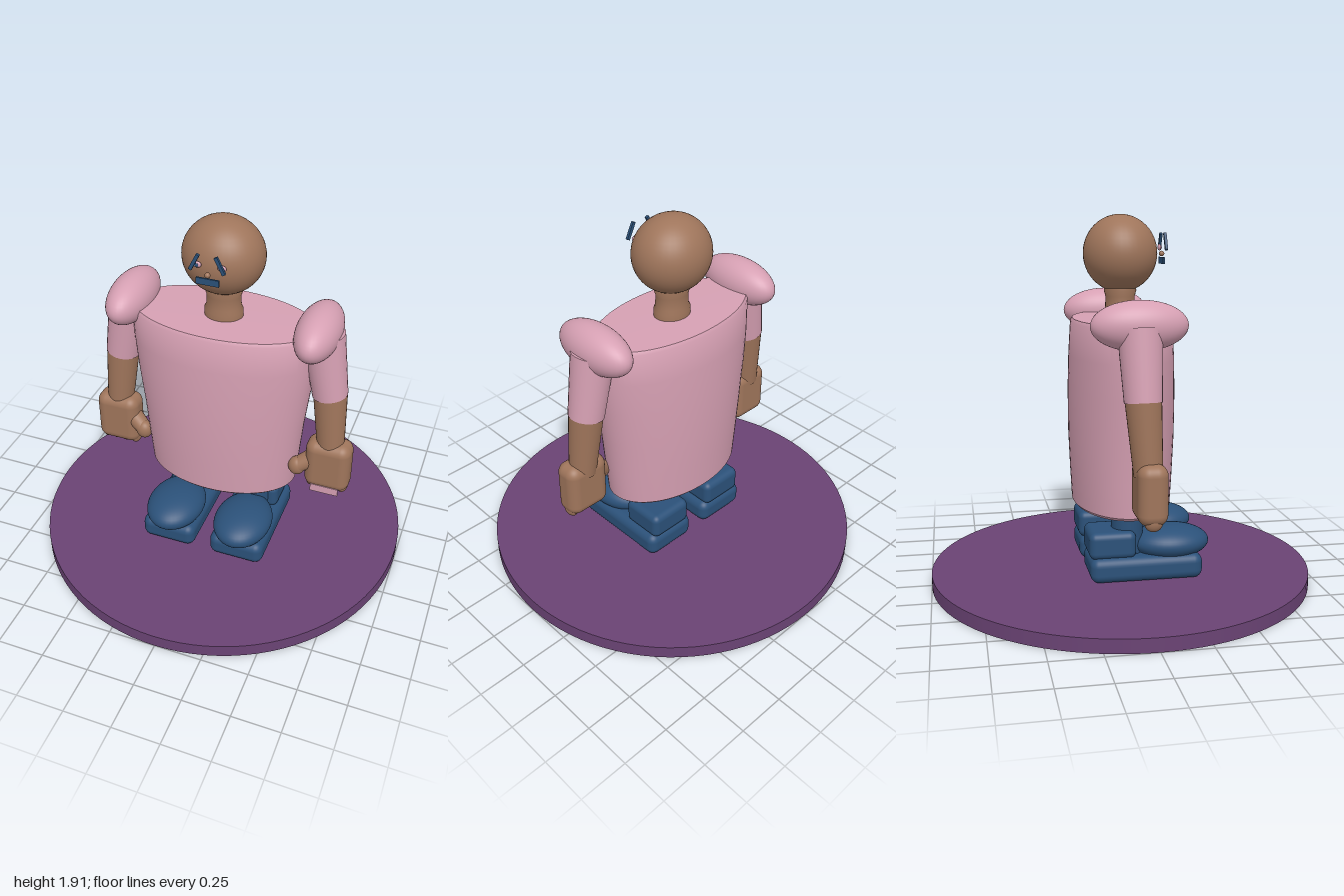
import * as THREE from 'three';
import { toCreasedNormals } from 'three/addons/utils/BufferGeometryUtils.js';
import { RoundedBoxGeometry } from 'three/addons/geometries/RoundedBoxGeometry.js';

const material = (name, color) => Object.assign(new THREE.MeshStandardMaterial({ color }), { name });

export function createModel() {
  const model = new THREE.Group();
  model.name = 'figure';
  const skin = material('brown skin', 0x9f755b);
  const pink = material('pink cloth', 0xd6a0b3);
  const blue = material('dark blue', 0x2b5179);
  const purple = material('purple base', 0x6a4374);

  const add = (name, geometry, mat, x = 0, y = 0, z = 0, parent = model) => {
    const mesh = new THREE.Mesh(geometry, mat);
    mesh.name = name;
    mesh.position.set(x, y, z);
    parent.add(mesh);
    return mesh;
  };
  const ellipsoid = (rx, ry, rz) => new THREE.SphereGeometry(1, 40, 24).scale(rx, ry, rz);
  // Tapered limb between two points
  const limb = (name, from, to, r0, r1, mat, parent) => {
    const a = new THREE.Vector3(...from), b = new THREE.Vector3(...to);
    const dir = b.clone().sub(a);
    const mesh = add(name, new THREE.CylinderGeometry(r1, r0, dir.length(), 28), mat, 0, 0, 0, parent);
    mesh.position.copy(a).add(b).multiplyScalar(0.5);
    mesh.quaternion.setFromUnitVectors(new THREE.Vector3(0, 1, 0), dir.normalize());
    return mesh;
  };

  // Round base
  add('base', new THREE.CylinderGeometry(1, 1, 0.07, 96), purple, 0, 0.035, 0);

  // Oval torso: half width, height, half depth
  const rings = [
    [0, 0.415, 0], [0.395, 0.415, 0.24], [0.41, 0.43, 0.253], [0.425, 0.6, 0.262],
    [0.442, 0.8, 0.27], [0.468, 1.02, 0.27], [0.485, 1.2, 0.264],
    [0.49, 1.37, 0.253], [0.478, 1.386, 0.243], [0, 1.388, 0],
  ];
  const torso = new THREE.LatheGeometry(rings.map(([w, y]) => new THREE.Vector2(w, y)), 64);
  const p = torso.attributes.position;
  for (let i = 0; i < p.count; i++) {
    const [w, , d] = rings[i % rings.length];
    if (w > 0) p.setZ(i, p.getZ(i) * d / w);
  }
  add('torso', toCreasedNormals(torso, 0.6), pink);

  // Neck and head
  const neck = new THREE.LatheGeometry(
    [[0.1, 1.37], [0.1, 1.42], [0.09, 1.44], [0.088, 1.5], [0.098, 1.53], [0.09, 1.57]]
      .map(([r, y]) => new THREE.Vector2(r, y)), 32).scale(1, 1, 0.85);
  add('neck', neck, skin);
  add('head', ellipsoid(0.207, 0.197, 0.19), skin, 0, 1.718, 0);

  // Face
  add('mouth', new THREE.BoxGeometry(0.115, 0.034, 0.009), blue, 0, 1.68, 0.218);
  add('nose', ellipsoid(0.014, 0.014, 0.014), skin, 0, 1.715, 0.218);

  for (const s of [1, -1]) {
    const side = s > 0 ? 'left' : 'right';
    add(side + 'Eye', ellipsoid(0.022, 0.016, 0.009), pink, s * 0.062, 1.748, 0.192);
    add(side + 'Pupil', ellipsoid(0.009, 0.009, 0.004), blue, s * 0.062, 1.748, 0.2);
    const brow = add(side + 'Brow', new THREE.BoxGeometry(0.017, 0.092, 0.014), blue, s * 0.064, 1.777, 0.224);
    brow.rotation.z = s * 0.46;

    // Arm with puffed shoulder, sleeve and hand
    const arm = new THREE.Group();
    arm.name = side + 'Arm';
    model.add(arm);
    add('shoulder', ellipsoid(0.112, 0.121, 0.235), pink, s * 0.494, 1.393, 0.003, arm);
    limb('sleeve', [s * 0.572, 1.04, 0.006], [s * 0.515, 1.38, 0], 0.091, 0.108, pink, arm);
    limb('forearm', [s * 0.602, 0.7, 0.025], [s * 0.572, 1.06, 0.005], 0.07, 0.088, skin, arm);
    add('hand', new RoundedBoxGeometry(0.24, 0.295, 0.145, 5, 0.055), skin, s * 0.6, 0.62, 0.034, arm);
    for (let i = 0; i < 4; i++) {
      add('finger', ellipsoid(0.03, 0.045, 0.045), skin, s * (0.515 + i * 0.056), 0.495, 0.034, arm);
    }
    limb('thumb', [s * 0.44, 0.59, 0.08], [s * 0.52, 0.64, 0.045], 0.042, 0.05, skin, arm);
    add('thumbTip', ellipsoid(0.046, 0.053, 0.042), skin, s * 0.44, 0.588, 0.08, arm);

    // Leg and shoe
    const leg = new THREE.Group();
    leg.name = side + 'Leg';
    model.add(leg);
    const x = s * 0.196;
    add('shin', new THREE.CylinderGeometry(0.082, 0.082, 0.3, 32), blue, x, 0.3, 0, leg);
    add('sole', new RoundedBoxGeometry(0.3, 0.13, 0.58, 4, 0.045), blue, x, 0.137, 0.083, leg);
    add('heel', new RoundedBoxGeometry(0.25, 0.14, 0.24, 4, 0.035), blue, x, 0.26, -0.09, leg);
    add('toe', ellipsoid(0.155, 0.088, 0.205), blue, x, 0.242, 0.226, leg);
  }

  // Small cloth patch at the left fingertips
  add('clothPatch', new THREE.BoxGeometry(0.15, 0.044, 0.008), pink, 0.6, 0.483, 0.102);

  return model;
}
